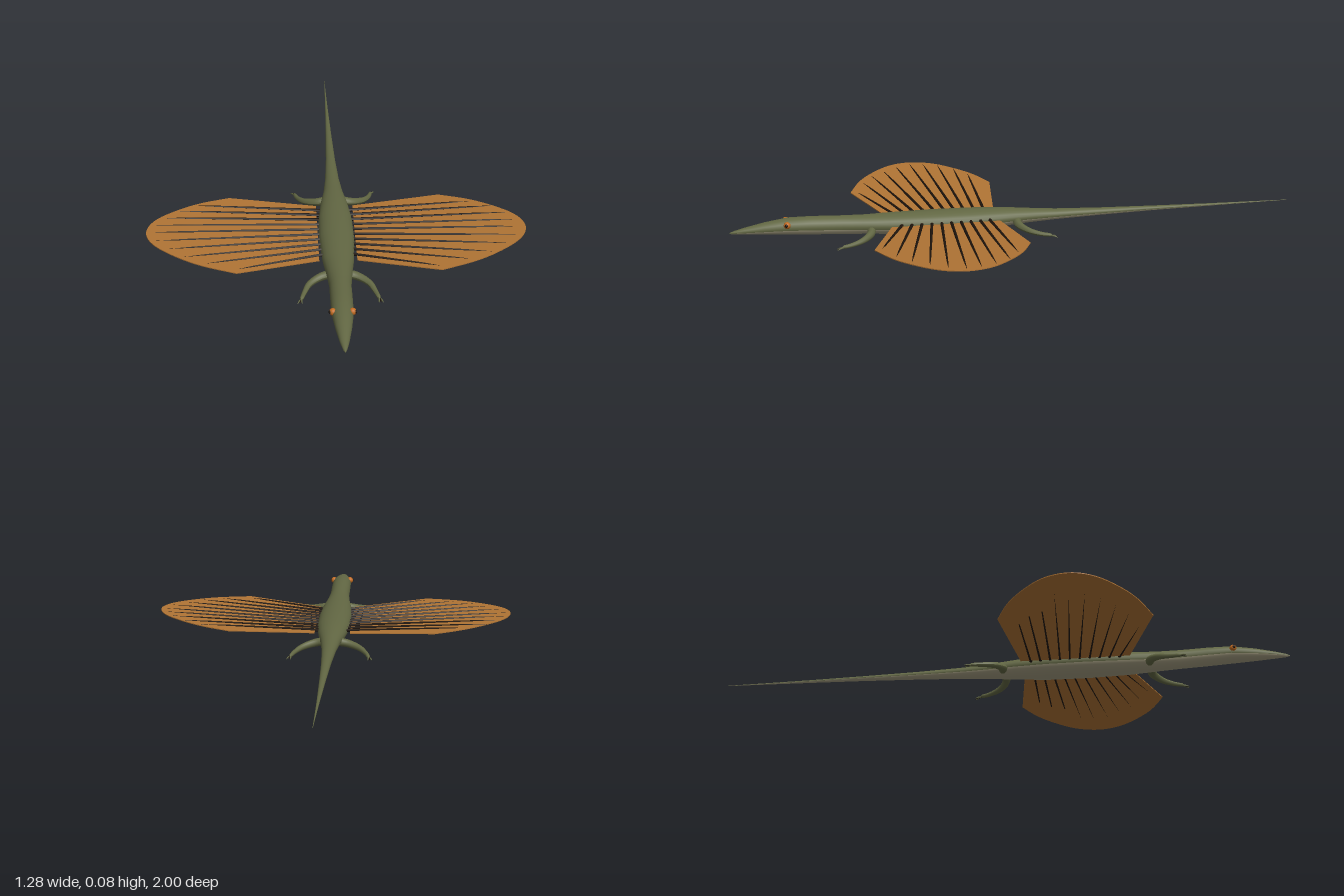
import * as THREE from 'three';

const mat = (name, color, side = THREE.FrontSide) => {
  const m = new THREE.MeshStandardMaterial({ color, side });
  m.name = name;
  return m;
};

export function createModel() {
  const model = new THREE.Group();
  model.name = 'glidingLizard';
  const back = mat('olive back', 0x626743);
  const belly = mat('pale belly', 0xa39c80);
  const membrane = mat('orange membrane', 0xb07434, THREE.DoubleSide);
  const dark = mat('dark brown', 0x1f150d);
  const eyeOrange = mat('eye orange', 0xc06a20);

  const add = (name, geometry, material, parent = model) => {
    const mesh = new THREE.Mesh(geometry, material);
    mesh.name = name;
    parent.add(mesh);
    return mesh;
  };

  // Tapered tube along a smooth path, closed at both ends
  const taperedTube = (points, radii, segments, sides) => {
    const path = new THREE.CatmullRomCurve3(points);
    const g = new THREE.TubeGeometry(path, segments, 1, sides, false);
    const p = g.attributes.position, c = new THREE.Vector3(), v = new THREE.Vector3();
    for (let i = 0; i <= segments; i++) {
      const t = i / segments, f = t * (radii.length - 1);
      const k = Math.min(Math.floor(f), radii.length - 2);
      const r = THREE.MathUtils.lerp(radii[k], radii[k + 1], f - k);
      path.getPointAt(t, c);
      for (let j = 0; j <= sides; j++) {
        const n = i * (sides + 1) + j;
        v.fromBufferAttribute(p, n).sub(c).multiplyScalar(i === segments ? 0.0002 : r).add(c);
        p.setXYZ(n, v.x, v.y, v.z);
      }
    }
    g.computeVertexNormals();
    return g;
  };

  // Body from nose to tail: z, half width, bottom, top
  const stations = [
    [1, 0.001, 0.041, 0.044], [0.985, 0.007, 0.038, 0.050], [0.95, 0.015, 0.036, 0.059],
    [0.88, 0.026, 0.032, 0.074], [0.8, 0.035, 0.028, 0.086], [0.72, 0.036, 0.023, 0.086],
    [0.62, 0.036, 0.018, 0.082], [0.54, 0.042, 0.014, 0.080], [0.45, 0.052, 0.009, 0.081],
    [0.3, 0.060, 0.006, 0.082], [0.16, 0.058, 0.007, 0.080], [0.05, 0.047, 0.012, 0.076],
    [-0.04, 0.034, 0.018, 0.068], [-0.14, 0.025, 0.023, 0.060], [-0.3, 0.017, 0.028, 0.054],
    [-0.5, 0.011, 0.033, 0.049], [-0.7, 0.006, 0.036, 0.045], [-0.85, 0.003, 0.038, 0.043],
    [-1, 0.0006, 0.040, 0.041],
  ];
  const sides = 24, positions = [], upper = [], lower = [];
  for (const [z, w, y0, y1] of stations) {
    for (let j = 0; j < sides; j++) {
      const a = (j / sides) * Math.PI * 2;
      positions.push(w * Math.cos(a), (y0 + y1) / 2 + ((y1 - y0) / 2) * Math.sin(a), z);
    }
  }
  for (let i = 0; i < stations.length - 1; i++) {
    for (let j = 0; j < sides; j++) {
      const a = i * sides + j, b = i * sides + ((j + 1) % sides);
      const under = j >= 13 && j < 23;
      (under ? lower : upper).push(a, a + sides, b, b, a + sides, b + sides);
    }
  }
  // Nose and tail caps
  const last = (stations.length - 1) * sides;
  for (let j = 1; j < sides - 1; j++) {
    upper.push(0, j, j + 1, last, last + j + 1, last + j);
  }
  const body = new THREE.BufferGeometry();
  body.setAttribute('position', new THREE.Float32BufferAttribute(positions, 3));
  body.setIndex([...upper, ...lower]);
  body.addGroup(0, upper.length, 0);
  body.addGroup(upper.length, lower.length, 1);
  body.computeVertexNormals();
  add('body', body, [back, belly]);

  const wingY = (x) => 0.046 + 0.048 * (Math.abs(x) - 0.06);
  const ribEnds = [
    [0.47, 0.09], [0.55, 0.132], [0.59, 0.185], [0.617, 0.238], [0.625, 0.288],
    [0.605, 0.344], [0.563, 0.397], [0.508, 0.447], [0.434, 0.487], [0.33, 0.519],
  ];

  for (const s of [1, -1]) {
    const label = s > 0 ? 'left' : 'right';
    const V = (x, y, z) => new THREE.Vector3(s * x, y, z);

    // Wing membrane
    const wing = new THREE.Group();
    wing.name = label + 'Wing';
    model.add(wing);
    const shape = new THREE.Shape();
    shape.moveTo(s * 0.063, -0.07);
    shape.lineTo(s * 0.365, -0.027);
    shape.splineThru([[0.47, 0.075], [0.56, 0.143], [0.618, 0.21], [0.64, 0.286], [0.62, 0.357],
      [0.56, 0.425], [0.46, 0.495], [0.335, 0.545]].map(([x, z]) => new THREE.Vector2(s * x, -z)));
    shape.lineTo(s * 0.063, -0.45);
    const skin = new THREE.ExtrudeGeometry(shape, { depth: 0.003, bevelEnabled: false, curveSegments: 5 });
    skin.rotateX(-Math.PI / 2);
    const p = skin.attributes.position;
    for (let i = 0; i < p.count; i++) p.setY(i, p.getY(i) + wingY(p.getX(i)));
    skin.computeVertexNormals();
    add('wingMembrane', skin, membrane, wing);

    // Ribs fanning over the membrane
    ribEnds.forEach(([x, z], i) => {
      const start = V(0.035, wingY(0.035) + 0.004, 0.105 + i * 0.0335);
      const end = V(x, wingY(x) + 0.003, z);
      const mid = start.clone().lerp(end, 0.5);
      add('wingRib', taperedTube([start, mid, end], [0.006, 0.0045, 0.0025], 6, 6), dark, wing);
    });

    // Eye with pupil
    const eye = add(label + 'Eye', new THREE.SphereGeometry(0.012, 16, 12), eyeOrange);
    eye.position.set(s * 0.031, 0.068, 0.805);
    const pupil = add(label + 'Pupil', new THREE.SphereGeometry(0.006, 12, 8), dark);
    pupil.position.set(s * 0.039, 0.069, 0.808);

    // Legs, each ending in small dark claws
    const legs = [
      ['FrontLeg', [[0.02, 0.036, 0.515], [0.06, 0.029, 0.522], [0.098, 0.02, 0.552],
        [0.115, 0.012, 0.59], [0.127, 0.008, 0.632]], 1],
      ['HindLeg', [[0.012, 0.038, 0.0], [0.055, 0.03, 0.005], [0.1, 0.02, -0.02],
        [0.125, 0.012, -0.06], [0.137, 0.008, -0.102]], -1],
    ];
    for (const [name, pts, dir] of legs) {
      const leg = new THREE.Group();
      leg.name = label + name;
      model.add(leg);
      add('limb', taperedTube(pts.map((q) => V(...q)), [0.016, 0.014, 0.011, 0.008, 0.006], 18, 10), back, leg);
      const [x, , z] = pts[4];
      for (const k of [-1, 0, 1]) {
        const toe = [V(x - 0.002, 0.007, z - dir * 0.008), V(x + k * 0.004 + 0.002, 0.006, z + dir * 0.004),
          V(x + k * 0.008 + 0.004, 0.002, z + dir * 0.015)];
        add('claw', taperedTube(toe, [0.0035, 0.003, 0.001], 4, 6), k ? back : dark, leg);
      }
    }
  }
  return model;
}
